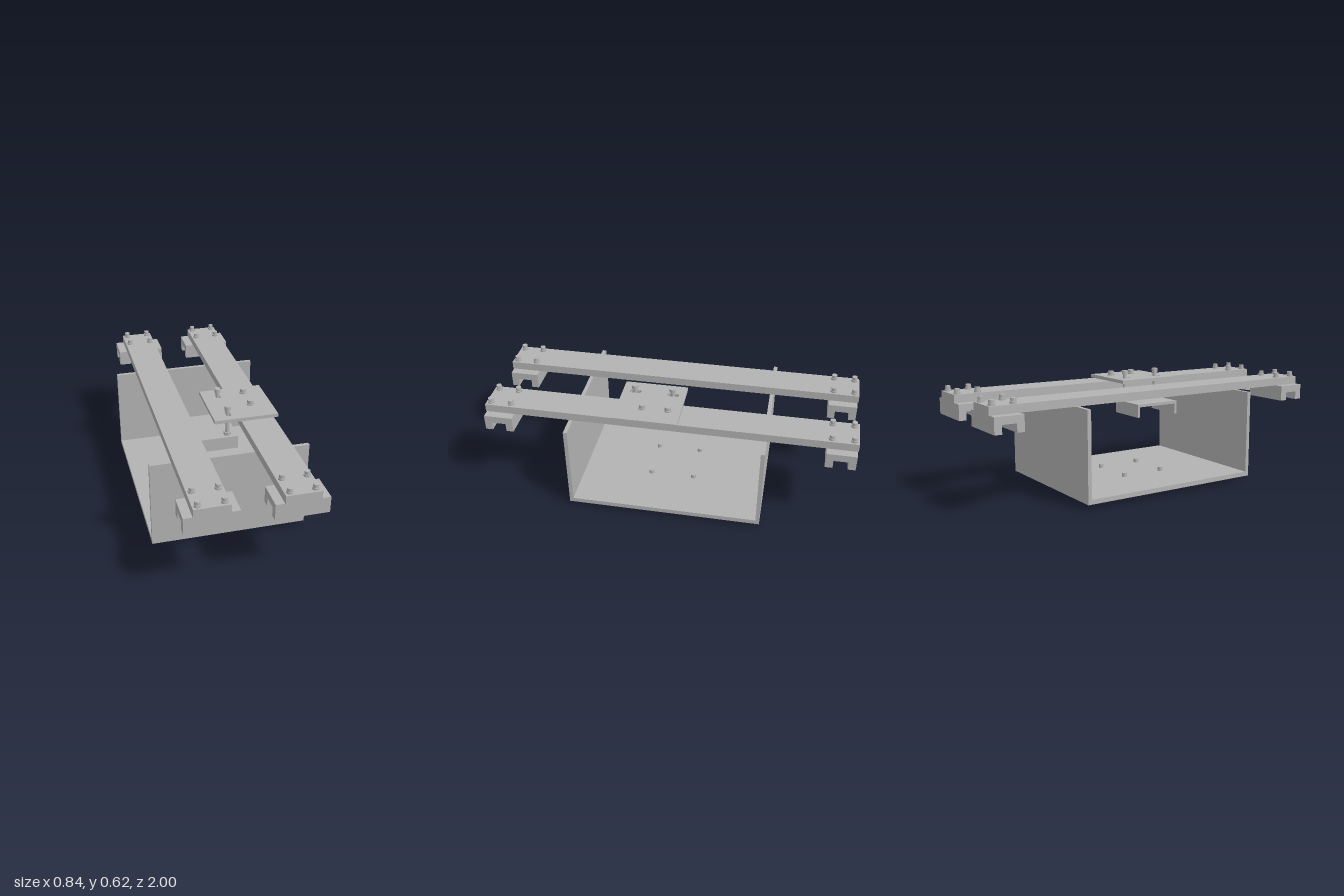
import * as THREE from 'three';

export function createModel() {
  const model = new THREE.Group();
  const grey = new THREE.MeshStandardMaterial({ color: 0xb2b2b2 });
  grey.name = 'plain grey';

  const add = (name, geometry, parent = model) => {
    const mesh = new THREE.Mesh(geometry, grey);
    mesh.name = name;
    parent.add(mesh);
    return mesh;
  };
  const group = (name, x = 0, z = 0) => {
    const g = new THREE.Group();
    g.name = name;
    g.position.set(x, 0, z);
    model.add(g);
    return g;
  };
  // Upright cylinder between two heights
  const rod = (name, r, y0, y1, parent, sides = 24) => {
    add(name, new THREE.CylinderGeometry(r, r, y1 - y0, sides), parent).position.y = (y0 + y1) / 2;
  };
  // Profile of [z, y] points extruded along x
  const alongX = (name, points, x0, x1) => {
    const shape = new THREE.Shape(points.map(([z, y]) => new THREE.Vector2(-z, y)));
    const geo = new THREE.ExtrudeGeometry(shape, { depth: x1 - x0, bevelEnabled: false });
    add(name, geo.rotateY(Math.PI / 2).translate(x0, 0, 0));
  };

  // Open tray: floor and two upright walls
  const Z = 0.532, z = 0.511;
  alongX('tray', [[-Z, 0.026], [Z, 0.026], [Z, 0.51], [z, 0.51], [z, 0.051],
    [-z, 0.051], [-z, 0.51], [-Z, 0.51]], -0.42, 0.42);

  // Floor bolts
  for (const x of [-0.123, 0.123]) for (const bz of [-0.123, 0.123]) {
    const bolt = group('floorBolt', x, bz);
    rod('floorBoltShaft', 0.009, 0, 0.055, bolt);
    rod('floorBoltHead', 0.014, 0.051, 0.073, bolt);
  }

  // Two rails with slotted feet and bolts at each end
  for (const cx of [-0.218, 0.217]) {
    add('rail', new THREE.BoxGeometry(0.18, 0.044, 2)).position.set(cx, 0.532, 0);
    for (const s of [-1, 1]) {
      alongX('slottedFoot', [[0.838, 0.424], [0.878, 0.424], [0.878, 0.47], [0.955, 0.47],
        [0.955, 0.424], [0.995, 0.424], [0.995, 0.51], [0.838, 0.51]].map(([pz, py]) => [s * pz, py]),
      cx - 0.136, cx + 0.136);
      for (const dx of [-0.0635, 0.0635]) for (const bz of [0.86, 0.973]) {
        const bolt = group('railBolt', cx + dx, s * bz);
        rod('railBoltWasher', 0.018, 0.554, 0.564, bolt);
        rod('railBoltHead', 0.0145, 0.56, 0.582, bolt);
      }
    }
  }

  // Adjustment plate with two slots
  const plate = new THREE.Shape([[-0.02, -0.287], [0.331, -0.287], [0.331, 0.062], [-0.02, 0.062]]
    .map(([x, y]) => new THREE.Vector2(x, y)));
  const longBolts = [0.007, 0.217], boltX = 0.068, r = 0.013;
  for (const bz of longBolts) {
    const slot = new THREE.Path();
    slot.absarc(boltX, -bz + 0.02, r, 0, Math.PI, false);
    slot.absarc(boltX, -bz - 0.02, r, Math.PI, 2 * Math.PI, false);
    slot.closePath();
    plate.holes.push(slot);
  }
  add('adjustmentPlate', new THREE.ExtrudeGeometry(plate, { depth: 0.019, bevelEnabled: false, curveSegments: 12 })
    .rotateX(-Math.PI / 2).translate(0, 0.555, 0));

  // Bolts clamping the plate to the rail
  for (const bz of [0.007, 0.147]) {
    const bolt = group('plateBolt', 0.216, bz);
    rod('plateBoltWasher', 0.021, 0.574, 0.581, bolt);
    rod('plateBoltHead', 0.017, 0.58, 0.6, bolt);
    rod('plateBoltNut', 0.021, 0.49, 0.51, bolt, 6);
    rod('plateBoltTip', 0.011, 0.475, 0.5, bolt);
  }

  // Hanging channel bracket
  alongX('hangingBracket', [[-0.02, 0.37], [-0.005, 0.37], [-0.005, 0.428], [0.235, 0.428],
    [0.235, 0.37], [0.25, 0.37], [0.25, 0.444], [-0.02, 0.444]], -0.105, 0.12);

  // Long bolts carrying the bracket
  for (const bz of longBolts) {
    const bolt = group('hangerBolt', boltX, bz);
    rod('hangerBoltShaft', 0.011, 0.422, 0.6, bolt);
    rod('hangerBoltHead', 0.0175, 0.597, 0.618, bolt);
    rod('hangerBoltNut', 0.02, 0.444, 0.461, bolt, 6);
  }
  return model;
}
